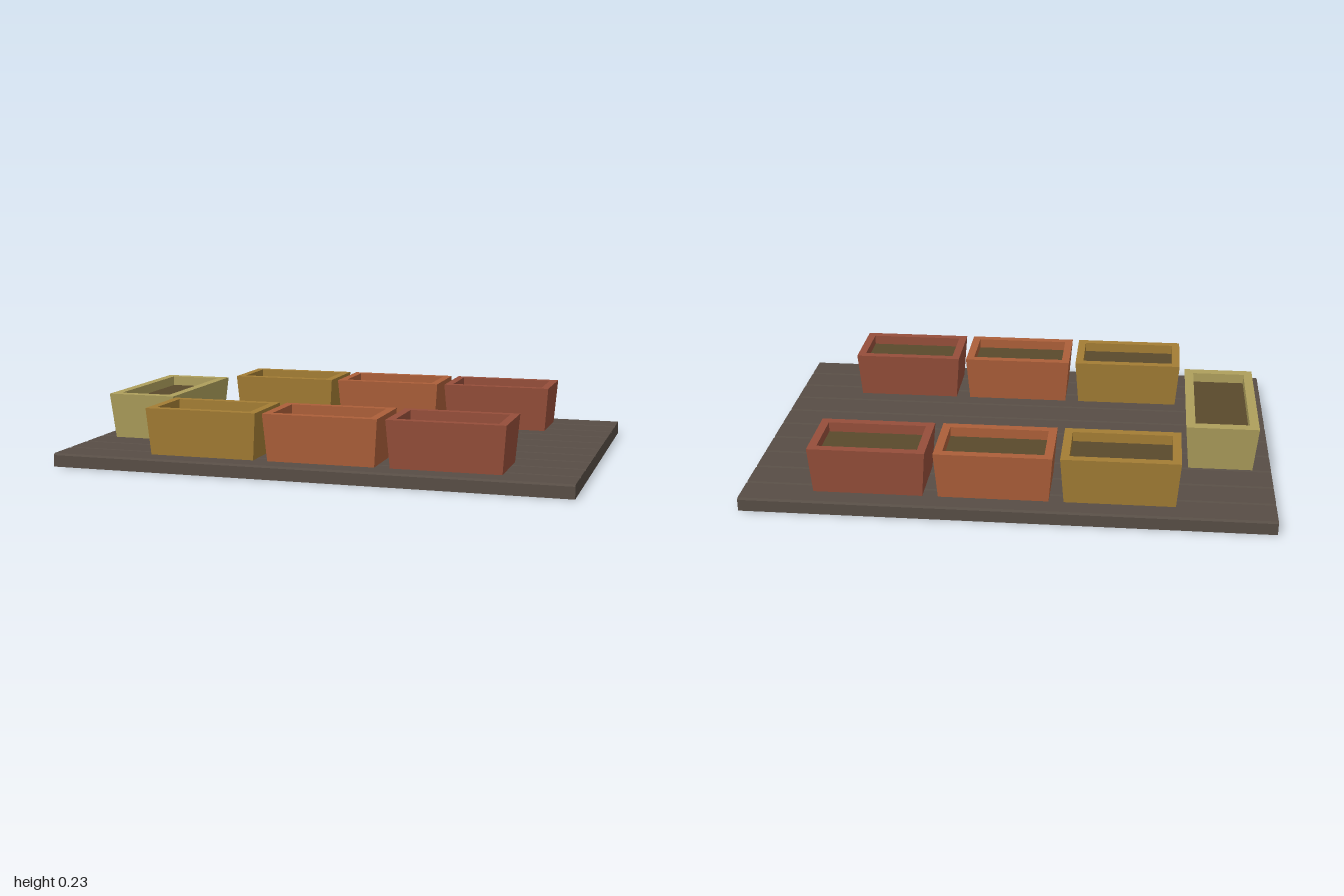
import * as THREE from 'three';

const flat = (name, color) => {
  const m = new THREE.MeshStandardMaterial({ color });
  m.name = name;
  return m;
};

const DECK_Y = 0.052, RIM_Y = 0.233, SOIL_Y = 0.195;

// Planked deck: one bevelled profile with V grooves, extruded along x
function deckGeometry(planks = 10, halfDepth = 0.685, bevel = 0.007) {
  const pitch = (2 * halfDepth) / planks;
  const shape = new THREE.Shape();
  shape.moveTo(-halfDepth, 0);
  shape.lineTo(halfDepth, 0);
  for (let i = planks; i > 0; i--) {
    const right = -halfDepth + i * pitch;
    shape.lineTo(right, DECK_Y - bevel);
    shape.lineTo(right - bevel, DECK_Y);
    shape.lineTo(right - pitch + bevel, DECK_Y);
  }
  shape.lineTo(-halfDepth, DECK_Y - bevel);
  shape.closePath();
  const geo = new THREE.ExtrudeGeometry(shape, { depth: 2, bevelEnabled: false });
  return geo.rotateY(Math.PI / 2).translate(-1, 0, 0);
}

// Open tapered box: rectangular rings joined from foot to rim and down inside
function potGeometry(w, d, rimX, rimZ, taperX, taperZ) {
  const rings = [
    [w / 2 - taperX, DECK_Y, d / 2 - taperZ],
    [w / 2, RIM_Y, d / 2],
    [w / 2 - rimX, RIM_Y, d / 2 - rimZ],
    [w / 2 - rimX, SOIL_Y, d / 2 - rimZ],
  ];
  const corners = [[-1, 1], [1, 1], [1, -1], [-1, -1]];
  const point = (r, c) => {
    const [x, y, z] = rings[r], [sx, sz] = corners[c % 4];
    return [sx * x, y, sz * z];
  };
  const pos = [];
  for (let r = 0; r < rings.length - 1; r++) {
    for (let c = 0; c < 4; c++) {
      const a = point(r, c), b = point(r, c + 1), e = point(r + 1, c + 1), f = point(r + 1, c);
      pos.push(...a, ...b, ...e, ...a, ...e, ...f);
    }
  }
  const geo = new THREE.BufferGeometry();
  geo.setAttribute('position', new THREE.Float32BufferAttribute(pos, 3));
  geo.computeVertexNormals();
  return geo;
}

export function createModel() {
  const wood = flat('dark wood', 0x574d45);
  const soil = flat('soil', 0x5a4a2c);
  const gold = flat('gold paint', 0xa37d34);
  const orange = flat('orange paint', 0xac5f39);
  const red = flat('red paint', 0x954e3a);
  const straw = flat('straw paint', 0xae9f5c);

  const model = new THREE.Group();
  model.name = 'planterDeck';

  const deck = new THREE.Mesh(deckGeometry(), wood);
  deck.name = 'deck';
  model.add(deck);

  // One planter: tapered box with a bed of soil
  function addPlanter(name, material, x, z, w, d, rimX, rimZ, taperX, taperZ) {
    const planter = new THREE.Group();
    planter.name = name;
    const box = new THREE.Mesh(potGeometry(w, d, rimX, rimZ, taperX, taperZ), material);
    box.name = 'planterBox';
    const bed = new THREE.Mesh(
      new THREE.PlaneGeometry(w - 2 * rimX, d - 2 * rimZ).rotateX(-Math.PI / 2), soil);
    bed.name = 'soilBed';
    bed.position.y = SOIL_Y;
    planter.add(box, bed);
    planter.position.set(x, 0, z);
    model.add(planter);
  }

  // Two matching rows of three
  for (const [row, z] of [['front', 0.471], ['back', -0.475]]) {
    [[-0.423, gold], [0.048, orange], [0.522, red]].forEach(([x, material], i) =>
      addPlanter(`${row}Planter${i + 1}`, material, x, z, 0.443, 0.28, 0.032, 0.034, 0.014, 0.014));
  }
  // Long planter closing the end
  addPlanter('endPlanter', straw, -0.804, 0.012, 0.28, 0.596, 0.036, 0.042, 0.016, 0.02);

  return model;
}
